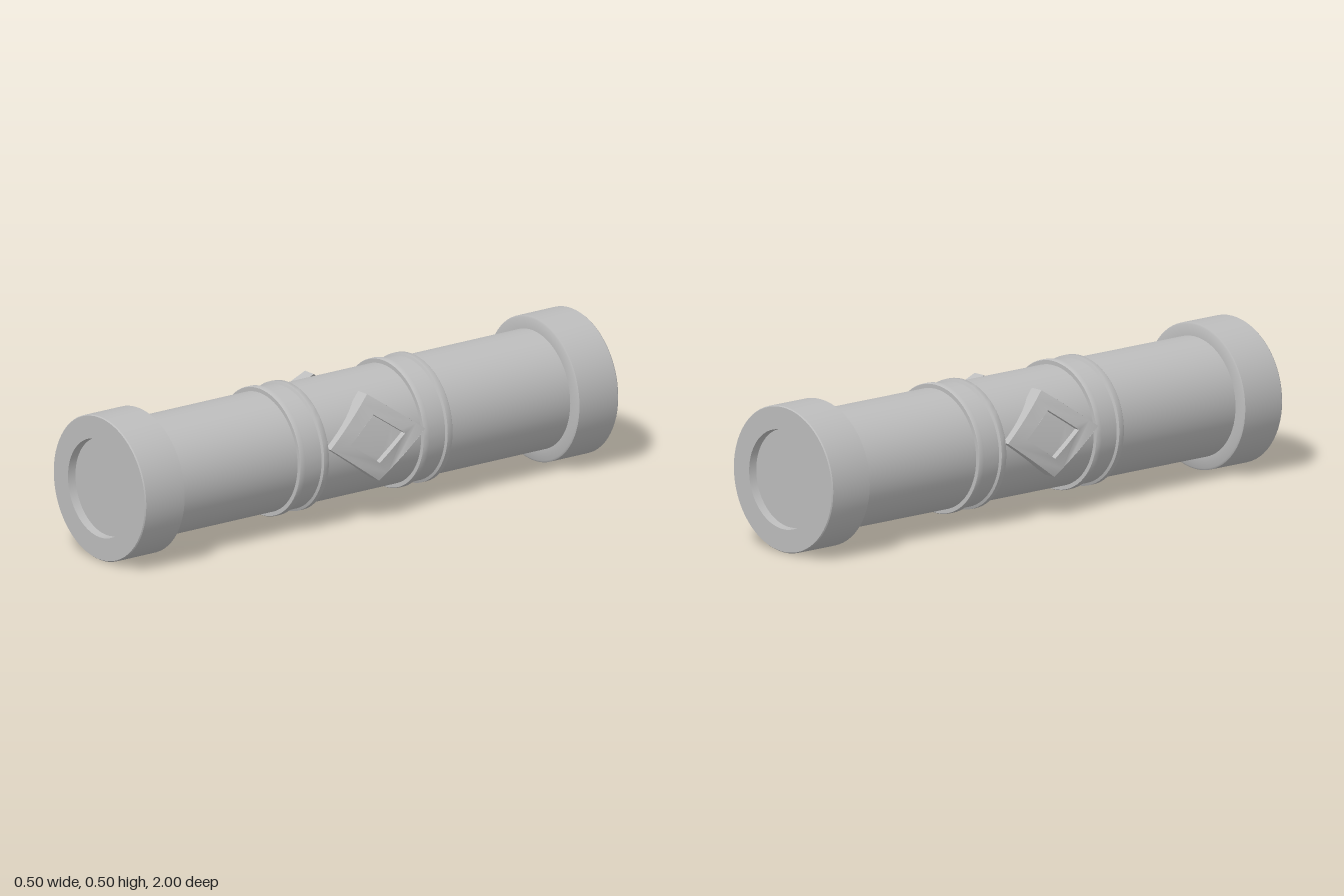
import * as THREE from 'three';
import { toCreasedNormals } from 'three/addons/utils/BufferGeometryUtils.js';

export function createModel() {
  const model = new THREE.Group();
  model.name = 'ornateTube';
  const stone = new THREE.MeshStandardMaterial({ color: 0xbcbcbc });
  stone.name = 'plain grey';

  const add = (geometry, name, y) => {
    const mesh = new THREE.Mesh(toCreasedNormals(geometry, 0.6), stone);
    mesh.name = name;
    mesh.position.y = y;
    model.add(mesh);
  };

  // Profile of [radius, z] pairs turned around the long axis
  const turned = (profile, name) => {
    const points = profile.map(([r, z]) => new THREE.Vector2(r, z));
    add(new THREE.LatheGeometry(points, 64).rotateX(Math.PI / 2), name, 0.25);
  };

  // Long main tube
  turned([[0.205, -0.9], [0.205, 0.9]], 'tube');

  // End cap with a round, shallow recess
  const cap = [[0.2, 0.83], [0.244, 0.83], [0.25, 0.834], [0.25, 0.996], [0.247, 1],
    [0.17, 1], [0.168, 0.97], [0, 0.97]];
  // Band with a raised rim on either edge
  const band = [[0.2, 0.2], [0.219, 0.2], [0.221, 0.203], [0.221, 0.222], [0.212, 0.226],
    [0.212, 0.296], [0.221, 0.3], [0.221, 0.319], [0.219, 0.322], [0.2, 0.322]];
  const flip = (profile) => profile.map(([r, z]) => [r, -z]).reverse();
  turned(cap, 'frontCap');
  turned(flip(cap), 'backCap');
  turned(band, 'frontBand');
  turned(flip(band), 'backBand');

  // Diamond outline with divided edges, so that it can be bent
  const diamond = (halfWidth, halfHeight) => {
    const corners = [[halfWidth, 0], [0, halfHeight], [-halfWidth, 0], [0, -halfHeight]]
      .map(([x, y]) => new THREE.Vector2(x, y));
    const steps = 6;
    return corners.flatMap((corner, i) => Array.from({ length: steps },
      (_, k) => corner.clone().lerp(corners[(i + 1) % 4], k / steps)));
  };

  // Diamond plates on both sides, bent inward towards the top of the tube
  const centreY = 0.287;
  const plate = (shape, inner, outer, side, name) => {
    const geometry = new THREE.ExtrudeGeometry(shape, { depth: outer - inner, bevelEnabled: false });
    geometry.translate(0, 0, inner);
    const p = geometry.attributes.position;
    for (let i = 0; i < p.count; i++) {
      p.setZ(i, p.getZ(i) - 1.32 * (p.getY(i) + centreY - 0.2) ** 2);
    }
    add(geometry.rotateY(side * Math.PI / 2), name, centreY);
  };
  const frameShape = new THREE.Shape(diamond(0.2, 0.143));
  frameShape.holes.push(new THREE.Path(diamond(0.115, 0.08)));
  const panelShape = new THREE.Shape(diamond(0.118, 0.083));
  for (const [side, label] of [[1, 'left'], [-1, 'right']]) {
    plate(frameShape, 0.19, 0.238, side, label + 'DiamondFrame');
    plate(panelShape, 0.19, 0.217, side, label + 'DiamondPanel');
  }
  return model;
}
